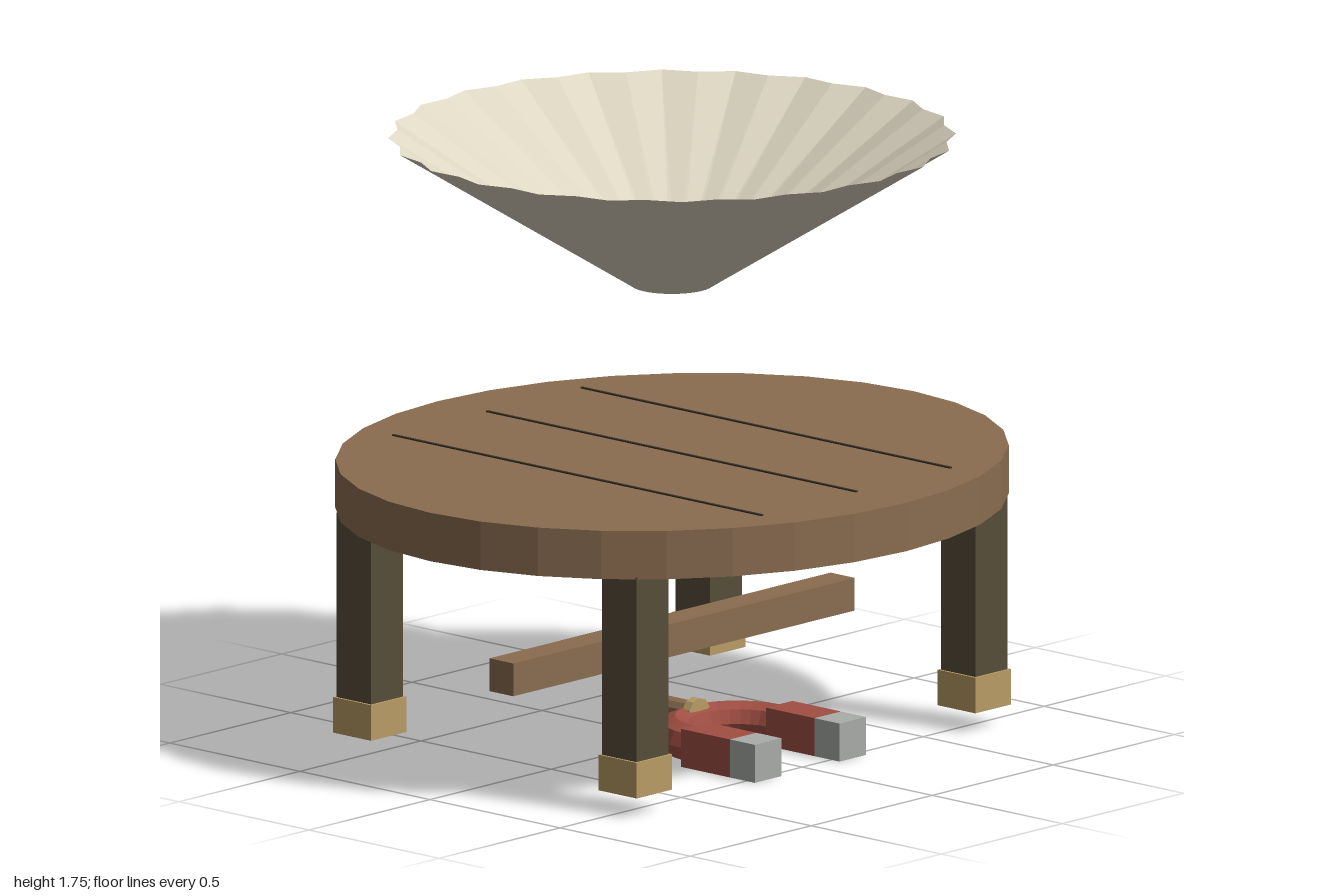
import * as THREE from 'three';

const flat = (name, color, side = THREE.FrontSide) => {
  const m = new THREE.MeshStandardMaterial({ color, side, flatShading: true });
  m.name = name;
  return m;
};

export function createModel() {
  const wood = flat('wood', 0x8a6c50);
  const darkWood = flat('dark wood', 0x574d39);
  const groove = flat('groove', 0x3a3226);
  const brass = flat('brass', 0xb99c66);
  const red = flat('red', 0xa04e43);
  const steel = flat('steel', 0xa9aca9);
  const cream = flat('cream', 0xddd6c2, THREE.DoubleSide);

  const model = new THREE.Group();
  model.name = 'tableWithShellAndMagnet';
  const add = (parent, name, geo, mat, x = 0, y = 0, z = 0) => {
    const mesh = new THREE.Mesh(geo, mat);
    mesh.name = name;
    mesh.position.set(x, y, z);
    parent.add(mesh);
    return mesh;
  };
  const box = (w, h, d) => new THREE.BoxGeometry(w, h, d);

  // Oval table top with three plank grooves
  const table = new THREE.Group();
  table.name = 'table';
  model.add(table);
  add(table, 'tableTop', new THREE.CylinderGeometry(1, 1, 0.14, 32).scale(1, 1, 0.9), wood, 0, 0.76, 0);
  for (const x of [-0.39, 0, 0.39]) add(table, 'plankGroove', box(0.009, 0.008, 1.42), groove, x, 0.83, 0);

  // Four square legs with brass feet
  for (const x of [-0.7, 0.7]) {
    for (const z of [-0.51, 0.51]) {
      add(table, 'leg', box(0.132, 0.6, 0.132), darkWood, x, 0.395, z);
      add(table, 'foot', box(0.146, 0.103, 0.146), brass, x, 0.11, z);
    }
  }
  add(table, 'stretcher', box(1.41, 0.095, 0.092), wood, 0, 0.302, 0);

  // Fluted open shell: the rim alternates between ridge and valley
  const shellGeo = new THREE.CylinderGeometry(0.8, 0.115, 0.43, 48, 1, true);
  const p = shellGeo.attributes.position;
  for (let i = 0; i < p.count; i++) {
    if (p.getY(i) > 0 && (i % 49) % 2 === 1) {
      p.setX(i, p.getX(i) * 0.97);
      p.setZ(i, p.getZ(i) * 0.97);
    }
  }
  add(model, 'flutedShell', shellGeo, cream, 0, 1.53, 0);

  // Horseshoe magnet lying on the ground, poles to the front
  const magnet = new THREE.Group();
  magnet.name = 'magnet';
  model.add(magnet);
  const bend = new THREE.TorusGeometry(0.175, 0.055, 8, 14, Math.PI).rotateX(-Math.PI / 2);
  add(magnet, 'magnetBend', bend, red, 0, 0.055, 0.25);
  for (const x of [-0.175, 0.175]) {
    add(magnet, 'magnetArm', box(0.11, 0.11, 0.187), red, x, 0.055, 0.3425);
    add(magnet, 'magnetPole', box(0.11, 0.11, 0.096), steel, x, 0.055, 0.484);
  }

  // Short round handle with a brass collar
  const rod = (r, length) => new THREE.CylinderGeometry(r, r, length, 10).rotateX(Math.PI / 2);
  add(magnet, 'handle', rod(0.033, 0.18), wood, 0, 0.09, -0.01);
  add(magnet, 'handleCap', rod(0.043, 0.027), brass, 0, 0.092, 0.092);
  return model;
}
